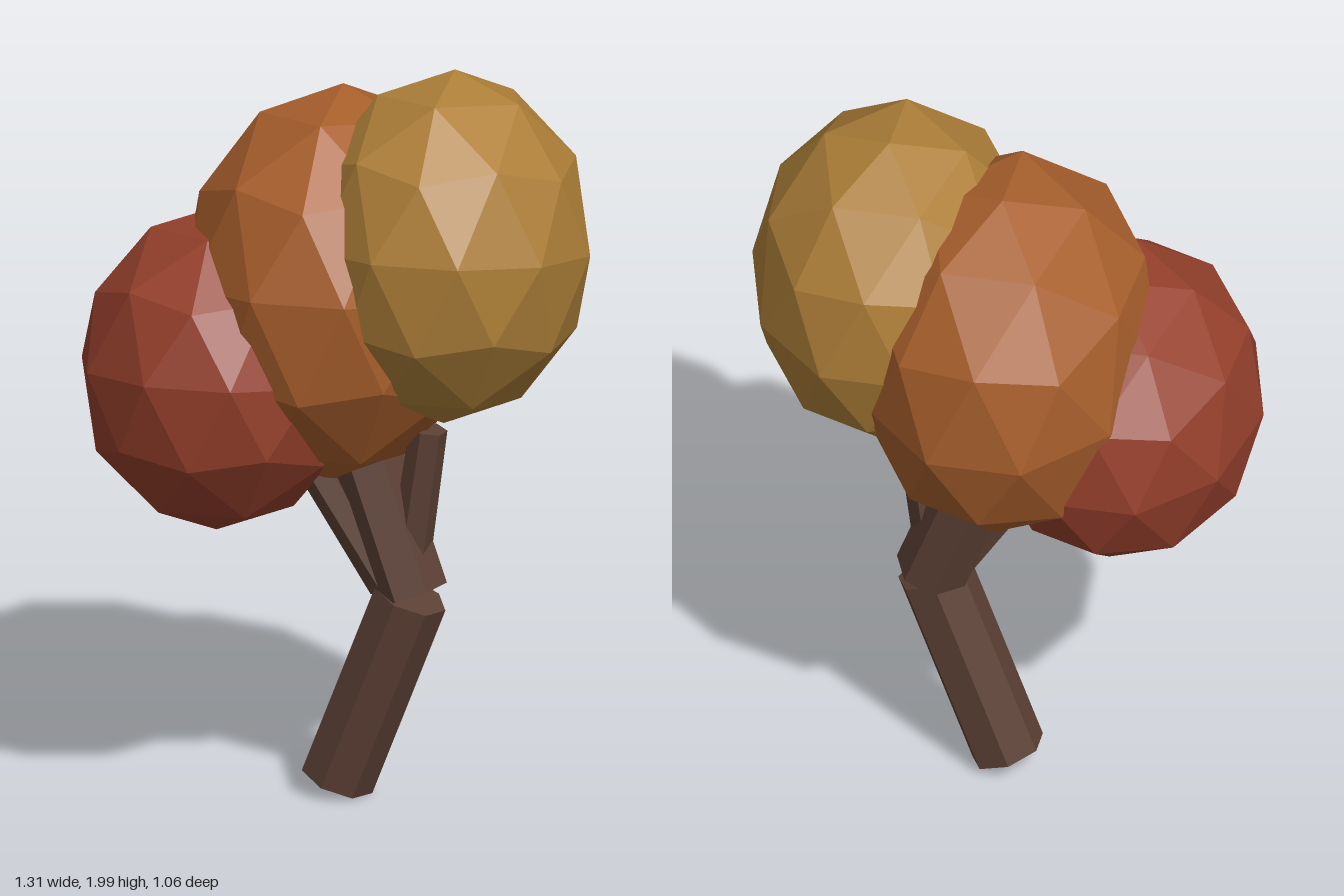
import * as THREE from 'three';

const material = (color) => new THREE.MeshStandardMaterial({ color, flatShading: true });

// Faceted ball with a vertex at its pole, leaned slightly and squashed to an ellipsoid
function foliage(name, color, center, radii) {
  const geometry = new THREE.IcosahedronGeometry(1, 1);
  geometry.rotateX(-Math.atan((1 + Math.sqrt(5)) / 2));
  geometry.rotateX(-0.15);
  const mesh = new THREE.Mesh(geometry, material(color));
  mesh.name = name;
  mesh.position.set(...center);
  mesh.scale.set(...radii);
  mesh.rotation.y = 0.21;
  return mesh;
}

// Straight tapered limb between two points
function limb(name, bark, from, to, r0, r1, sides) {
  const a = new THREE.Vector3(...from);
  const b = new THREE.Vector3(...to);
  const dir = b.clone().sub(a);
  const mesh = new THREE.Mesh(new THREE.CylinderGeometry(r1, r0, dir.length(), sides), bark);
  mesh.name = name;
  mesh.position.copy(a).add(b).multiplyScalar(0.5);
  mesh.quaternion.setFromUnitVectors(new THREE.Vector3(0, 1, 0), dir.normalize());
  return mesh;
}

export function createModel() {
  const tree = new THREE.Group();
  tree.name = 'tree';
  const bark = material(0x5c4035);

  // Bent trunk and its side branches
  tree.add(
    limb('lowerTrunk', bark, [-0.035, 0.043, -0.045], [0.175, 0.57, -0.045], 0.1, 0.1, 7),
    limb('upperTrunk', bark, [0.175, 0.575, -0.052], [0.0, 1.05, -0.055], 0.1, 0.1, 7),
    limb('leftBranch', bark, [0.17, 0.66, -0.05], [0.225, 1.03, -0.05], 0.055, 0.05, 6),
    limb('rightBranch', bark, [0.12, 0.6, -0.03], [-0.13, 1.0, 0.02], 0.055, 0.05, 6)
  );

  // Three overlapping clumps of leaves
  tree.add(
    foliage('lowFoliage', 0x96402c, [-0.295, 1.175, 0.105], [0.375, 0.43, 0.432]),
    foliage('middleFoliage', 0xa85f2c, [-0.04, 1.395, -0.055], [0.405, 0.525, 0.487]),
    foliage('highFoliage', 0xae7f38, [0.283, 1.535, -0.055], [0.376, 0.468, 0.432])
  );
  return tree;
}
